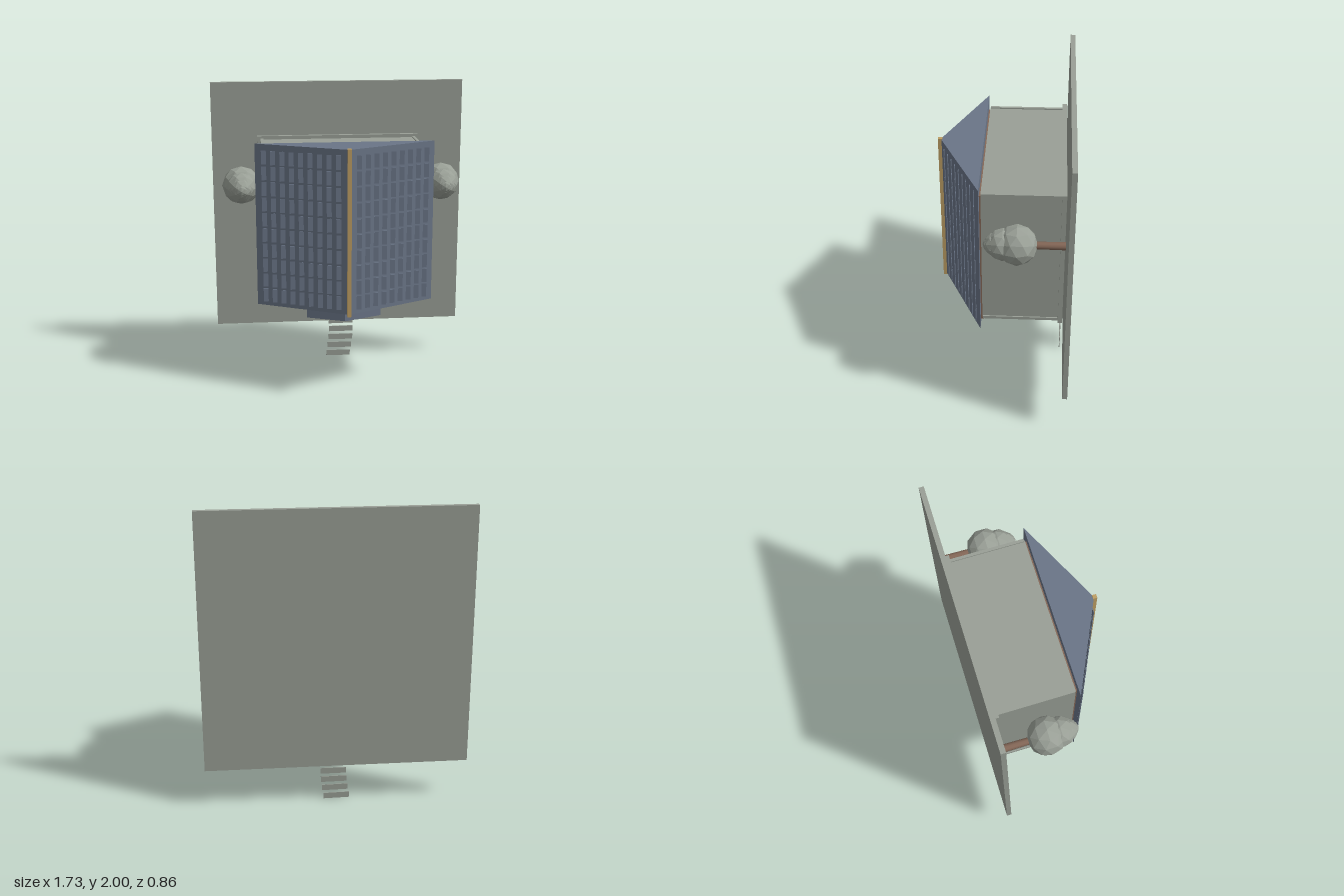
import * as THREE from 'three';

const mat = (name, color, flat = false) => {
  const m = new THREE.MeshStandardMaterial({ color, flatShading: flat });
  m.name = name;
  return m;
};

export function createModel() {
  const root = new THREE.Group();
  root.name = 'house';
  const stone = mat('greyStone', 0x999f96);
  const leaf = mat('greyFoliage', 0x999f96, true);
  const slate = mat('slateBlue', 0x6a7587);
  const wood = mat('brownWood', 0x846757);
  const gold = mat('ochre', 0xbd9e64);

  const add = (name, geo, m, x = 0, y = 0, z = 0, parent = root) => {
    const mesh = new THREE.Mesh(geo, m);
    mesh.name = name;
    mesh.position.set(x, y, z);
    parent.add(mesh);
    return mesh;
  };
  // box given by its limits on each axis
  const box = (name, m, x0, x1, y0, y1, z0, z1) =>
    add(name, new THREE.BoxGeometry(x1 - x0, y1 - y0, z1 - z0), m,
      (x0 + x1) / 2, (y0 + y1) / 2, (z0 + z1) / 2);
  // cylinder along z
  const rod = (name, m, r0, r1, x, y, z0, z1, sides = 12) =>
    add(name, new THREE.CylinderGeometry(r1, r0, z1 - z0, sides).rotateX(Math.PI / 2), m, x, y, (z0 + z1) / 2);
  // gable prism with its ridge along y
  const gable = (name, half, y0, y1, z0, z1) => {
    const s = new THREE.Shape([[-half, z0], [half, z0], [0, z1]].map(p => new THREE.Vector2(...p)));
    const geo = new THREE.ExtrudeGeometry(s, { depth: y1 - y0, bevelEnabled: false }).rotateX(Math.PI / 2);
    return add(name, geo, slate, 0, y1, 0);
  };

  // ground, foundation and walls
  box('ground', stone, -0.865, 0.865, 0.27, 2, -0.432, -0.4);
  box('foundation', stone, -0.555, 0.555, 0.645, 1.635, -0.387, -0.358);
  box('walls', stone, -0.525, 0.525, 0.655, 1.612, -0.358, 0.13);
  for (const x of [-0.523, 0.523])
    for (const y of [0.658, 1.61])
      box('cornerBoard', stone, x - 0.01, x + 0.01, y - 0.01, y + 0.01, -0.358, 0.125);
  box('eaveTrim', wood, -0.52, 0.52, 0.635, 1.6, 0.122, 0.142);

  // main roof with ridge cap and shingles
  gable('roof', 0.58, 0.6, 1.675, 0.14, 0.415);
  box('ridgeCap', gold, -0.013, 0.013, 0.59, 1.682, 0.405, 0.432);
  const shingle = new THREE.BoxGeometry(0.042, 0.09, 0.004);
  for (const side of [-1, 1])
    for (let i = 0; i < 9; i++)
      for (let j = 0; j < 10; j++) {
        const x = 0.06 + i * 0.0575;
        add('shingle', shingle, slate, side * x, 0.672 + j * 0.102, 0.418 - x * 0.474);
      }

  // door and windows
  box('door', wood, -0.09, 0.09, 0.638, 0.656, -0.345, -0.03);
  add('doorKnob', new THREE.SphereGeometry(0.01, 10, 8), gold, 0.06, 0.63, -0.265);
  for (const x of [-0.33, 0.33]) {
    box('windowFrame', wood, x - 0.1, x + 0.1, 0.636, 0.656, -0.2, 0.02);
    box('windowPane', slate, x - 0.08, x + 0.08, 0.632, 0.637, -0.18, 0);
    box('windowBar', wood, x - 0.006, x + 0.006, 0.629, 0.634, -0.18, 0);
  }

  // porch
  gable('porchRoof', 0.25, 0.46, 0.615, 0.05, 0.15);
  box('porchDeck', stone, -0.2, 0.2, 0.42, 0.65, -0.372, -0.342);
  box('porchStep', stone, -0.19, 0.19, 0.375, 0.46, -0.386, -0.364);
  for (const x of [-0.2, 0.2]) {
    rod('porchPost', stone, 0.018, 0.018, x, 0.527, -0.342, 0.055);
    rod('postCollar', stone, 0.025, 0.025, x, 0.527, -0.02, 0.035);
    rod('postBase', gold, 0.031, 0.031, x, 0.527, -0.342, -0.3);
  }
  rod('lantern', gold, 0.023, 0.018, 0, 0.527, -0.01, 0.05, 8);

  // stepping stones on a slight curve
  for (let i = 0; i < 7; i++) {
    const x = 0.021 * Math.sin(i / 6 * Math.PI), y = 0.025 + i * 0.062;
    const slab = box('pathStone', stone, x - 0.086, x + 0.086, y - 0.02, y + 0.02, -0.388, -0.383);
    slab.rotation.z = -0.02 * Math.cos(i / 6 * Math.PI);
  }

  // trees: trunk and shrinking tiers of foliage
  for (const x of [-0.67, 0.67]) {
    rod('treeTrunk', wood, 0.025, 0.022, x, 1.355, -0.387, -0.15, 10);
    for (const [r, z] of [[0.127, -0.095], [0.1, -0.01], [0.075, 0.03], [0.05, 0.061]])
      add('foliage', new THREE.IcosahedronGeometry(r, 1), leaf, x, 1.355, z);
  }
  return root;
}
